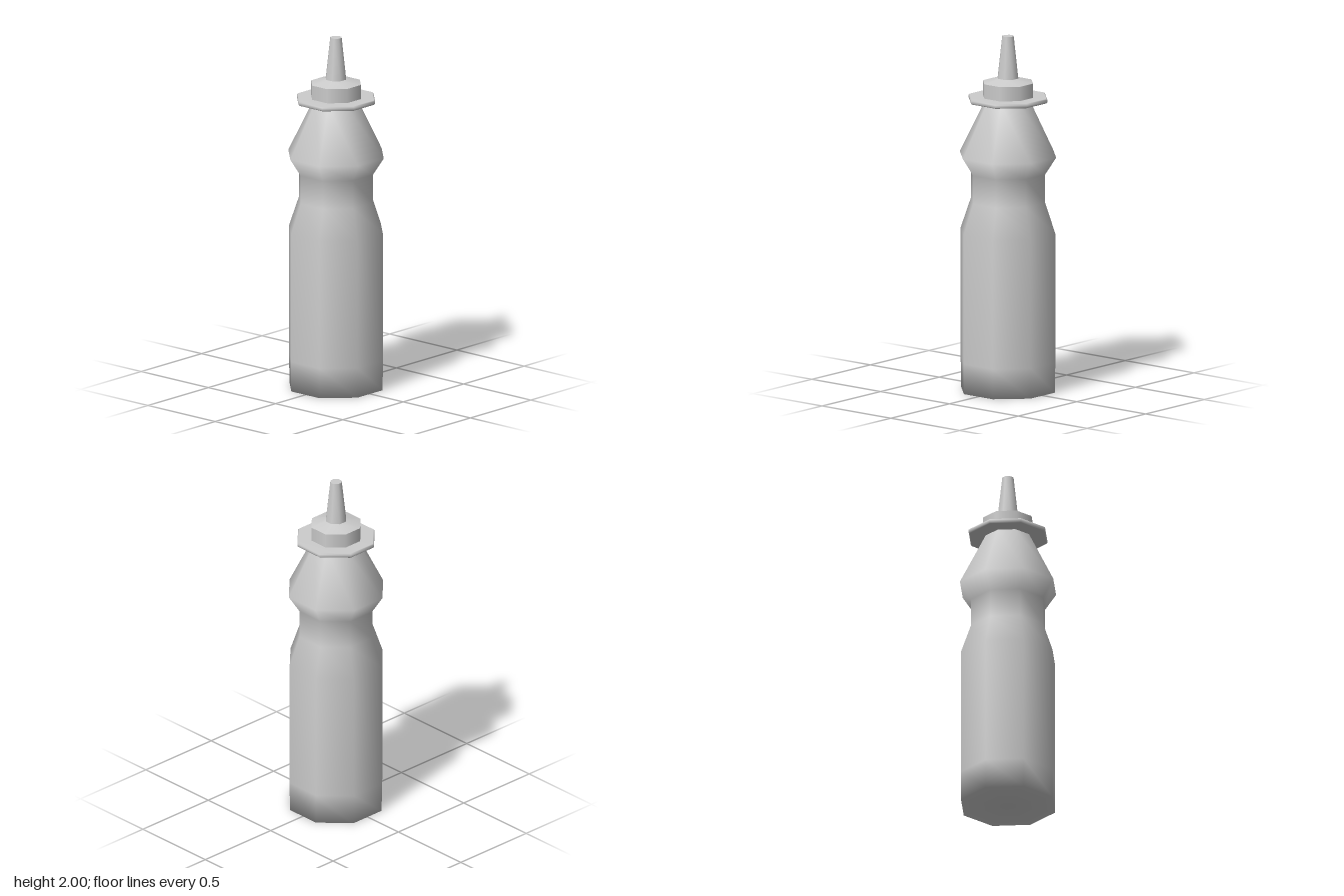
import * as THREE from 'three';

const SIDES = 8;

// Eight-sided smooth lathe; profile is [distance to the flat, height] from bottom to top
function turned(name, profile, material) {
  const toCorner = 1 / Math.cos(Math.PI / SIDES);
  const points = profile.map(([r, y]) => new THREE.Vector2(r * toCorner, y));
  const mesh = new THREE.Mesh(
    new THREE.LatheGeometry(points, SIDES, Math.PI / SIDES), material);
  mesh.name = name;
  return mesh;
}

export function createModel() {
  const plastic = new THREE.MeshStandardMaterial({ color: 0xcccccc });
  plastic.name = 'pale grey plastic';

  const bottle = new THREE.Group();
  bottle.name = 'squeezeBottle';

  // Body with a pinched grip and tapering shoulder
  bottle.add(turned('body', [
    [0, 0], [0.253, 0], [0.254, 0.17], [0.254, 0.9], [0.2, 1.07],
    [0.2, 1.23], [0.259, 1.33], [0.117, 1.64],
  ], plastic));

  // Thin flange under the cap
  bottle.add(turned('flange', [
    [0, 1.633], [0.206, 1.633], [0.212, 1.639], [0.212, 1.653], [0.206, 1.659], [0, 1.659],
  ], plastic));

  // Cap collar: upright wall and sloping top
  bottle.add(turned('capWall', [[0.135, 1.655], [0.135, 1.74]], plastic));
  bottle.add(turned('capTop', [[0.135, 1.74], [0.055, 1.763]], plastic));

  // Tapered nozzle with a closed tip
  bottle.add(turned('nozzle', [[0.056, 1.76], [0.031, 2]], plastic));
  bottle.add(turned('nozzleTip', [[0.031, 2], [0, 2]], plastic));

  return bottle;
}
